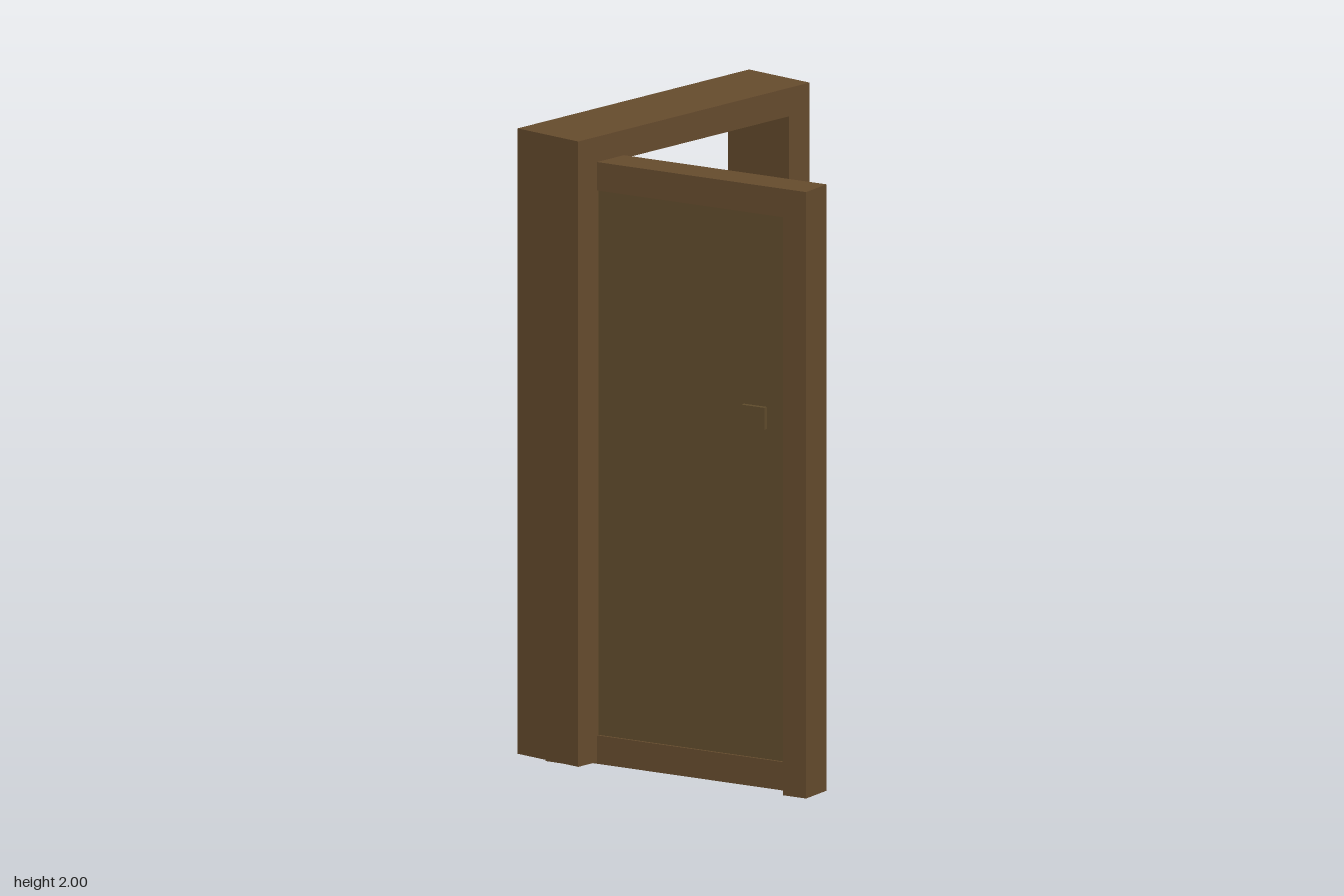
import * as THREE from 'three';

export function createModel() {
  const model = new THREE.Group();
  model.name = 'openDoor';

  const frameWood = new THREE.MeshStandardMaterial({ color: 0x654b2d });
  frameWood.name = 'frame wood';
  const panelWood = new THREE.MeshStandardMaterial({ color: 0x5f4b2c });
  panelWood.name = 'panel wood';

  // Box given by its lower and upper corners
  function box(parent, name, material, [x0, y0, z0], [x1, y1, z1]) {
    const mesh = new THREE.Mesh(new THREE.BoxGeometry(x1 - x0, y1 - y0, z1 - z0), material);
    mesh.position.set((x0 + x1) / 2, (y0 + y1) / 2, (z0 + z1) / 2);
    mesh.name = name;
    parent.add(mesh);
  }

  // Door frame: one arch-shaped outline, extruded across x
  const D = 0.525, IN = 0.43, BOTTOM = 0.02, LINTEL = 1.91, X0 = -0.497, X1 = -0.243;
  const outline = new THREE.Shape([
    [-D, BOTTOM], [-IN, BOTTOM], [-IN, LINTEL], [IN, LINTEL],
    [IN, BOTTOM], [D, BOTTOM], [D, 2], [-D, 2],
  ].map(([z, y]) => new THREE.Vector2(z, y)));
  const frameGeometry = new THREE.ExtrudeGeometry(outline, { depth: X1 - X0, bevelEnabled: false });
  frameGeometry.rotateY(Math.PI / 2);
  const frame = new THREE.Mesh(frameGeometry, frameWood);
  frame.position.x = X0;
  frame.name = 'doorFrame';
  model.add(frame);

  // Door leaf, swung open, built around its own centre
  const door = new THREE.Group();
  door.name = 'door';
  door.position.set(0.024, 0, 0.326);
  door.rotation.y = THREE.MathUtils.degToRad(11.25);
  model.add(door);

  const W = 0.4705, T = 0.06, STILE = 0.084, TOP = 1.92;
  const inner = W - STILE;
  box(door, 'hingeStile', frameWood, [-W, 0, -T], [-inner, TOP, T]);
  box(door, 'latchStile', frameWood, [inner, 0, -T], [W, TOP, T]);
  box(door, 'topRail', frameWood, [-inner, 1.83, -T], [inner, TOP, T]);
  box(door, 'bottomRail', frameWood, [-inner, 0.015, -T], [inner, 0.105, T]);
  box(door, 'panel', panelWood, [-inner, 0.105, -T + 0.008], [inner, 1.83, T - 0.008]);

  // Handle block showing on both faces
  box(door, 'handle', panelWood, [0.242, 1.15, -T - 0.007], [0.324, 1.22, T + 0.007]);

  return model;
}
